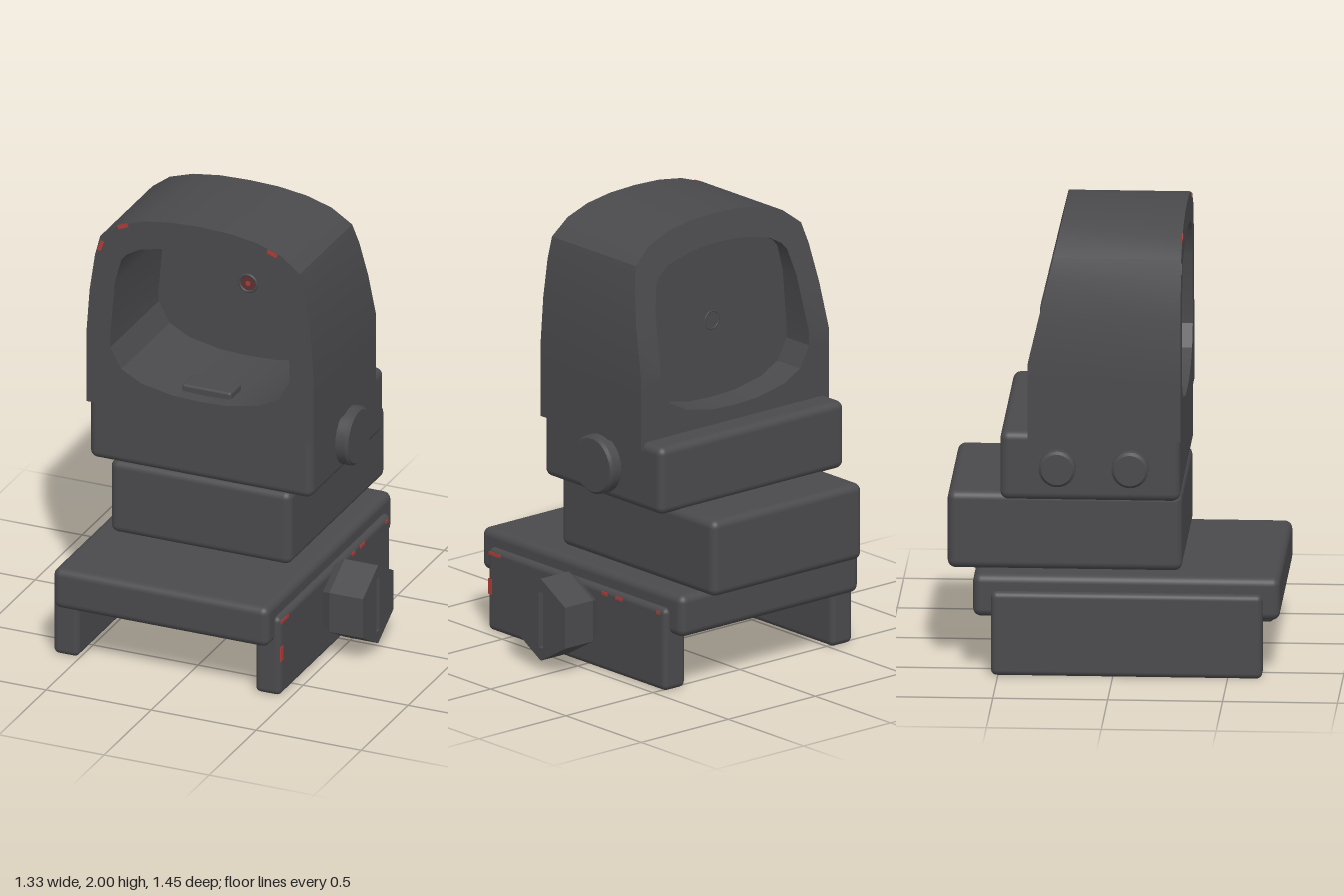
import * as THREE from 'three';
import { RoundedBoxGeometry } from 'three/addons/geometries/RoundedBoxGeometry.js';
import { toCreasedNormals } from 'three/addons/utils/BufferGeometryUtils.js';

const CX = -0.083; // centre line of the sight body
const FRONT = 0.295;

// Half profiles of the hood, bottom centre to top centre, as offsets from CX
const OUTER = [[0, 1.06], [0.15, 1.06], [0.3, 1.06], [0.54, 1.06], [0.54, 1.3], [0.54, 1.4], [0.525, 1.6],
  [0.5, 1.77], [0.475, 1.865], [0.385, 1.935], [0.27, 1.975], [0.14, 1.995], [0, 2]];
const INNER = [[0, 1.16], [0.13, 1.165], [0.28, 1.195], [0.375, 1.245], [0.427, 1.34], [0.427, 1.4], [0.405, 1.655],
  [0.375, 1.77], [0.35, 1.8], [0.29, 1.835], [0.175, 1.862], [0.09, 1.872], [0, 1.875]];

// Mirror a half profile into a closed counter-clockwise loop
function fullLoop(half) {
  const mirrored = half.slice(1, -1).reverse().map(([x, y]) => [-x, y]);
  return [...half, ...mirrored].map(([x, y]) => [x + CX, y]);
}

// The rear face is upright below y = 1.4 and leans forward above it
const backZ = (y) => -0.37 + Math.max(0, y - 1.4) * 0.14 / 0.6;

function hoodGeometry() {
  const outer = fullLoop(OUTER), inner = fullLoop(INNER);
  const atBack = ([x, y]) => [x, y, backZ(y)];
  const atFront = ([x, y]) => [x, y, FRONT];
  const rings = [outer.map(atBack), outer.map(atFront), inner.map(atFront), inner.map(atBack)];
  const pos = [];
  rings.forEach((a, r) => {
    const b = rings[(r + 1) % rings.length];
    a.forEach((p, i) => {
      const j = (i + 1) % a.length;
      pos.push(...p, ...a[j], ...b[j], ...p, ...b[j], ...b[i]);
    });
  });
  const g = new THREE.BufferGeometry();
  g.setAttribute('position', new THREE.Float32BufferAttribute(pos, 3));
  return toCreasedNormals(g, 0.5);
}

// Round button along x with a softened outer rim
function buttonGeometry(r, h) {
  const b = 0.012;
  const pts = [[0, 0], [r, 0], [r, h - b], [r - b, h], [0, h]].map(([x, y]) => new THREE.Vector2(x, y));
  return toCreasedNormals(new THREE.LatheGeometry(pts, 40).rotateZ(-Math.PI / 2), 0.6);
}

export function createModel() {
  const group = new THREE.Group();
  const material = (name, color, extra = {}) => {
    const m = new THREE.MeshStandardMaterial({ color, ...extra });
    m.name = name;
    return m;
  };
  const metal = material('dark grey metal', 0x4a4a4d, { side: THREE.DoubleSide });
  const red = material('worn red', 0xb03a36);
  const darkRed = material('dim red', 0x5e3234);

  const add = (name, geometry, mat = metal, x = 0, y = 0, z = 0) => {
    const mesh = new THREE.Mesh(geometry, mat);
    mesh.name = name;
    mesh.position.set(x, y, z);
    group.add(mesh);
    return mesh;
  };
  // Rounded block given by its limits on each axis
  const block = (name, [x0, x1], [y0, y1], [z0, z1], r = 0.035) =>
    add(name, new RoundedBoxGeometry(x1 - x0, y1 - y0, z1 - z0, 4, r), metal,
      (x0 + x1) / 2, (y0 + y1) / 2, (z0 + z1) / 2);

  // Stacked mount
  block('leftRail', [0.335, 0.457], [0, 0.375], [-0.53, 0.65], 0.025);
  block('rightRail', [-0.625, -0.505], [0, 0.375], [-0.53, 0.65], 0.025);
  block('mountPlate', [-0.595, 0.43], [0.255, 0.445], [-0.61, 0.725]);
  block('riser', [-0.515, 0.345], [0.45, 0.797], [-0.725, 0.295]);
  block('sightBase', [-0.615, 0.445], [0.788, 1.095], [-0.49, 0.292]);

  // Hood with its window
  add('hood', hoodGeometry());
  const lensShape = new THREE.Shape(fullLoop(INNER).map(([x, y]) => new THREE.Vector2(x, y)));
  add('lens', new THREE.ShapeGeometry(lensShape), metal, 0, 0, -0.22);
  add('emitter', new RoundedBoxGeometry(0.235, 0.05, 0.12, 3, 0.012), metal, CX, 1.17, 0.17);

  // Aiming dot on the lens
  add('dotRing', new THREE.TorusGeometry(0.04, 0.006, 8, 32), metal, CX, 1.51, -0.216);
  add('dotHalo', new THREE.CircleGeometry(0.038, 32), darkRed, CX, 1.51, -0.217);
  add('dotCentre', new THREE.CircleGeometry(0.012, 20), red, CX, 1.51, -0.214);

  // Adjustment dial and buttons
  add('dial', buttonGeometry(0.132, 0.065), metal, 0.437, 0.94, -0.095);
  for (const z of [-0.24, 0.077]) {
    add('button', buttonGeometry(0.08, 0.065), metal, -0.6, 0.94, z).rotation.y = Math.PI;
  }

  // Hexagonal clamp nut: chamfer, body and slotted end
  const hex = (r0, r1, h) => toCreasedNormals(
    new THREE.CylinderGeometry(r1, r0, h, 6, 1, false, Math.PI / 2).rotateZ(-Math.PI / 2), 0.3);
  add('nutChamfer', hex(0.15, 0.187, 0.05), metal, 0.475, 0.23, 0.06);
  add('nutBody', hex(0.187, 0.187, 0.12), metal, 0.56, 0.23, 0.06);
  const end = new THREE.Shape();
  for (let i = 0; i < 6; i++) {
    const a = Math.PI / 2 + i * Math.PI / 3;
    end[i ? 'lineTo' : 'moveTo'](0.187 * Math.cos(a), 0.187 * Math.sin(a));
  }
  const slot = [[-0.016, -0.128], [-0.016, 0.125], [0.016, 0.125], [0.016, -0.128]];
  end.holes.push(new THREE.Path(slot.map(([x, y]) => new THREE.Vector2(x, y))));
  add('nutSlottedEnd', new THREE.ExtrudeGeometry(end, { depth: 0.04, bevelEnabled: false }).rotateY(Math.PI / 2),
    metal, 0.62, 0.23, 0.06);
  for (const [y, h] of [[0.33, 0.04], [0.235, 0.06], [0.16, 0.04]]) {
    add('slotPaint', new THREE.BoxGeometry(0.004, h, 0.026), red, 0.622, y, 0.06);
  }

  // Worn paint flecks on the outer face of the left rail: z, y, length, height
  for (const [z, y, l, h] of [[0.6, 0.352, 0.08, 0.015], [-0.13, 0.352, 0.035, 0.015],
    [-0.225, 0.352, 0.05, 0.015], [-0.485, 0.352, 0.025, 0.015], [0.63, 0.2, 0.025, 0.07]]) {
    add('railFleck', new THREE.BoxGeometry(0.004, h, l), red, 0.4565, y, z);
  }
  // Flecks along the front rim of the hood: x, y, tilt
  for (const [x, y, tilt] of [[-0.45, 1.933, 0.4], [0.26, 1.938, -0.35], [-0.555, 1.82, 1.2]]) {
    add('hoodFleck', new THREE.BoxGeometry(0.05, 0.018, 0.004), red, x, y, FRONT).rotation.z = tilt;
  }
  return group;
}
